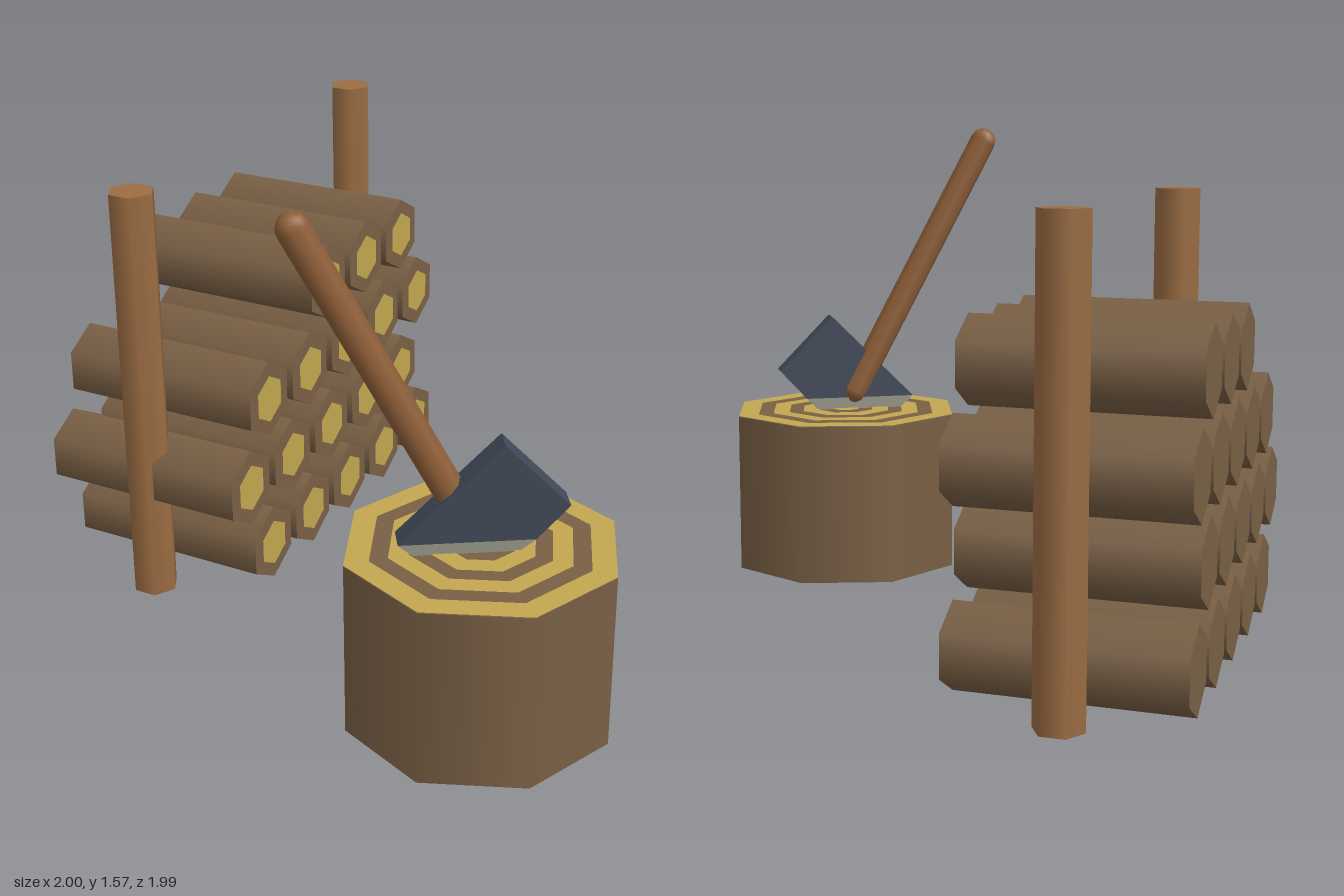
import * as THREE from 'three';

const mat = (name, color) => Object.assign(new THREE.MeshStandardMaterial({ color }), { name });

export function createModel() {
  const bark = mat('bark brown', 0x7a6045);
  const wood = mat('cut wood yellow', 0xc2a750);
  const postWood = mat('post wood', 0x9c6d43);
  const handleWood = mat('handle wood', 0x8f5f38);
  const steel = mat('dark steel', 0x414858);
  const edgeSteel = mat('sharpened steel', 0xb4b4a4);

  const model = new THREE.Group();
  model.name = 'woodpile';
  const add = (parent, name, geo, material, x = 0, y = 0, z = 0) => {
    const mesh = new THREE.Mesh(geo, material);
    mesh.name = name;
    mesh.position.set(x, y, z);
    parent.add(mesh);
    return mesh;
  };

  // Stacked hexagonal logs lying along x: [height, first z, count]
  const logGeo = new THREE.CylinderGeometry(0.13, 0.13, 0.69, 6).rotateY(Math.PI / 6).rotateZ(Math.PI / 2);
  const coreGeo = new THREE.CircleGeometry(0.08, 6).rotateZ(Math.PI / 6).rotateY(Math.PI / 2);
  const rows = [[0.155, 0.26, 5], [0.418, 0.385, 5], [0.68, 0.26, 5], [0.941, -0.137, 3]];
  const pile = new THREE.Group();
  pile.name = 'logPile';
  model.add(pile);
  for (const [y, z0, count] of rows) {
    for (let i = 0; i < count; i++) {
      const z = z0 - i * 0.263;
      add(pile, 'log', logGeo, bark, -0.655, y, z);
      add(pile, 'logCore', coreGeo, wood, -0.307, y, z);
    }
  }

  // Upright posts at both ends of the pile
  const postGeo = new THREE.CylinderGeometry(0.075, 0.075, 1.38, 6).rotateY(Math.PI / 6);
  add(model, 'frontPost', postGeo, postWood, -0.658, 0.69, 0.45);
  add(model, 'backPost', postGeo, postWood, -0.658, 0.69, -0.935);

  // Chopping block with growth rings
  const block = new THREE.Group();
  block.name = 'choppingBlock';
  block.position.set(0.586, 0, 0.582);
  model.add(block);
  add(block, 'stump', new THREE.CylinderGeometry(0.412, 0.412, 0.553, 8), bark, 0, 0.2765, 0);
  for (const [inner, outer] of [[0.337, 0.412], [0.219, 0.281], [0.103, 0.166], [0, 0.05]]) {
    const ring = new THREE.RingGeometry(inner, outer, 8, 1).rotateX(-Math.PI / 2);
    add(block, 'growthRing', ring, wood, 0, 0.556, 0);
  }

  // Axe stuck in the block; local x runs along the blade
  const axe = new THREE.Group();
  axe.name = 'axe';
  axe.position.set(0.6, 0, 0.603);
  axe.rotation.y = 0.571;
  model.add(axe);

  const outline = [[-0.248, 0.597], [0.145, 0.597], [0.24, 0.7], [0.05, 0.895]];
  const headShape = new THREE.Shape(outline.map(([x, y]) => new THREE.Vector2(x, y)));
  const headGeo = new THREE.ExtrudeGeometry(headShape, { depth: 0.08, bevelEnabled: false });
  add(axe, 'axeHead', headGeo, steel, 0, 0, -0.04);

  // Cutting edge: a block narrowed to a wedge at the bottom
  const edgeGeo = new THREE.BoxGeometry(0.393, 0.1, 0.08);
  const p = edgeGeo.attributes.position;
  for (let i = 0; i < p.count; i++) {
    if (p.getY(i) < 0) p.setXYZ(i, p.getX(i) * 0.5, p.getY(i), p.getZ(i) * 0.1);
  }
  edgeGeo.computeVertexNormals();
  add(axe, 'cuttingEdge', edgeGeo, edgeSteel, -0.0515, 0.547, 0);

  // Round-ended handle leaning back from the head
  const top = new THREE.Vector2(-0.518, 1.525);
  const bottom = new THREE.Vector2(-0.036, 0.62);
  const handleGeo = new THREE.CapsuleGeometry(0.047, top.distanceTo(bottom), 3, 8);
  const handle = add(axe, 'handle', handleGeo, handleWood,
    (top.x + bottom.x) / 2, (top.y + bottom.y) / 2, -0.015);
  handle.rotation.z = Math.atan2(bottom.x - top.x, top.y - bottom.y);

  return model;
}
